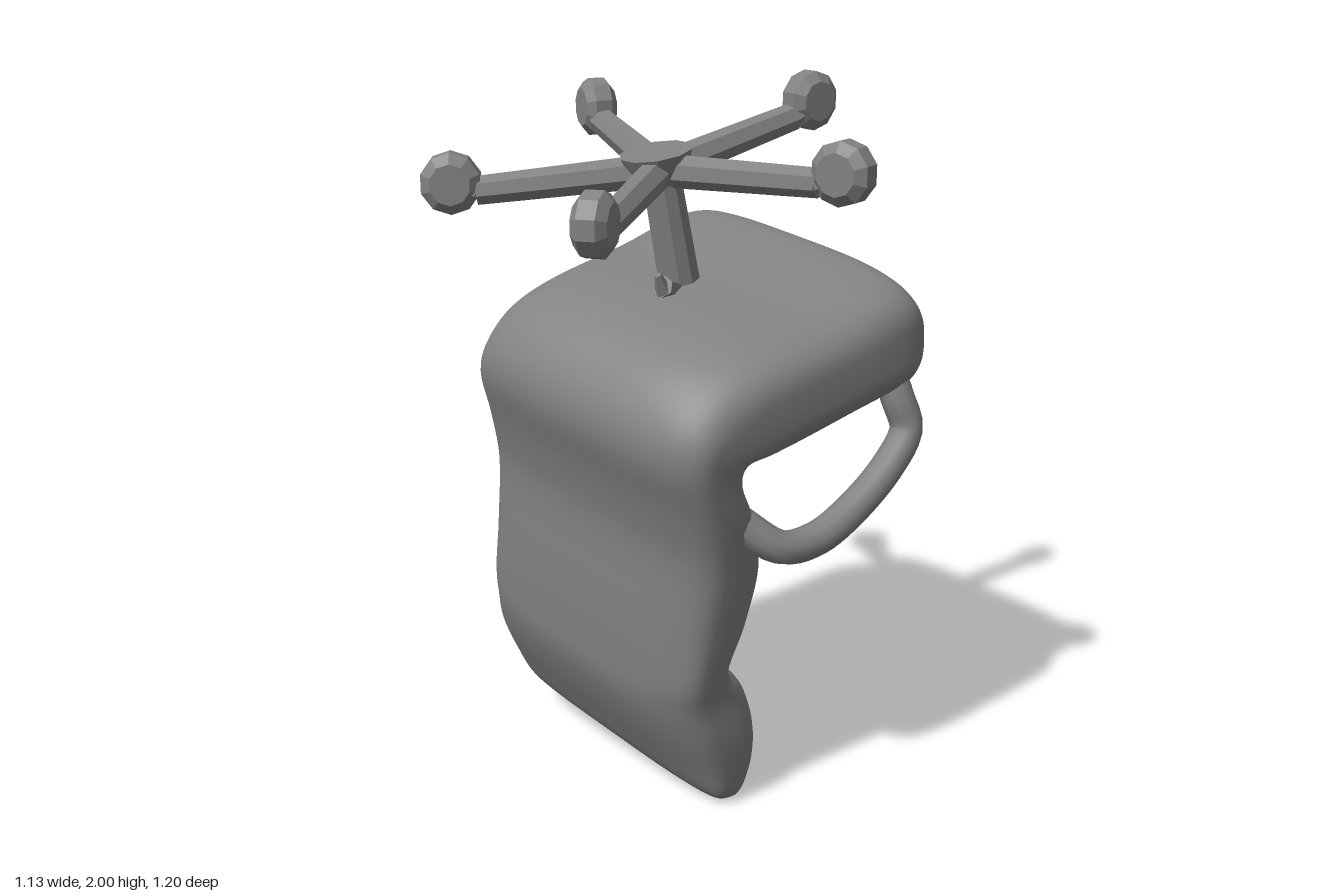
import * as THREE from 'three';
import { mergeVertices } from 'three/addons/utils/BufferGeometryUtils.js';

const ROLL = 0.13; // sideways lean of the seat and back
const YAW = 0.1; // slight turn of the seat and back
const GREY = 0x828282;
const V = (x, y, z) => new THREE.Vector3(x, y, z);
const lean = (x, y, z) => V(x + YAW * z, y - ROLL * z, z);
const smooth = new THREE.MeshStandardMaterial({ color: GREY });
const faceted = new THREE.MeshStandardMaterial({ color: GREY, flatShading: true });

function add(parent, name, geometry, material) {
  const mesh = new THREE.Mesh(geometry, material);
  mesh.name = name;
  parent.add(mesh);
  return mesh;
}

// Tapered round bar between two points
function bar(parent, name, from, to, r0, r1, sides = 8) {
  const dir = to.clone().sub(from);
  const mesh = add(parent, name, new THREE.CylinderGeometry(r1, r0, dir.length(), sides, 3), faceted);
  mesh.position.copy(from).add(to).multiplyScalar(0.5);
  mesh.quaternion.setFromUnitVectors(V(0, 1, 0), dir.normalize());
}

// Stations from headrest tip to seat front:
// outer x, y, inner x, y, centre z, half width, depth of the recess between the bolsters
const STATIONS = [
  [-0.075, 0.03, -0.075, 0.03, -0.12, 0.36, 0],
  [-0.145, 0.07, 0.0, 0.05, -0.12, 0.425, 0],
  [-0.205, 0.17, 0.05, 0.155, -0.12, 0.45, 0],
  [-0.26, 0.28, 0.05, 0.28, -0.11, 0.455, 0],
  [-0.295, 0.38, 0.005, 0.405, -0.09, 0.44, 0],
  [-0.305, 0.48, -0.08, 0.495, -0.07, 0.435, 0.06],
  [-0.31, 0.65, -0.035, 0.64, -0.05, 0.44, 0.2],
  [-0.31, 0.85, -0.015, 0.81, -0.03, 0.45, 0.26],
  [-0.34, 1.0, -0.065, 0.97, -0.01, 0.455, 0.2],
  [-0.385, 1.15, -0.12, 1.07, 0.01, 0.45, 0.08],
  [-0.37, 1.26, -0.12, 1.12, 0.03, 0.445, 0],
  [-0.29, 1.365, -0.05, 1.12, 0.04, 0.445, 0.05],
  [-0.15, 1.435, 0.05, 1.14, 0.05, 0.445, 0.1],
  [0.10, 1.495, 0.20, 1.175, 0.05, 0.45, 0.12],
  [0.29, 1.555, 0.36, 1.205, 0.05, 0.45, 0.06],
  [0.39, 1.56, 0.43, 1.225, 0.05, 0.435, 0],
  [0.455, 1.485, 0.465, 1.285, 0.045, 0.41, 0],
  [0.478, 1.385, 0.478, 1.385, 0.04, 0.38, 0],
];

// Seat and back as one loft of rounded rectangular sections
function shellGeometry() {
  const curve = (f) => new THREE.CatmullRomCurve3(STATIONS.map(f), false, 'catmullrom', 0.5);
  const outer = curve((s) => V(s[0], s[1], 0));
  const inner = curve((s) => V(s[2], s[3], 0));
  const size = curve((s) => V(s[4], s[5], s[6]));
  const rows = 85, cols = 72, pos = [], index = [];
  const round = (v) => Math.sign(v) * Math.pow(Math.abs(v), 0.55);
  for (let i = 0; i <= rows; i++) {
    const o = outer.getPoint(i / rows), n = inner.getPoint(i / rows), d = size.getPoint(i / rows);
    for (let j = 0; j < cols; j++) {
      const a = (j / cols) * Math.PI * 2;
      const w = round(Math.cos(a));
      let t = 0.5 + 0.5 * round(Math.sin(a)); // 0 inner face, 1 outer face
      if (t < 0.5) t += d.z * (1 - THREE.MathUtils.smoothstep(Math.abs(w), 0.4, 0.72));
      const p = n.clone().lerp(o, t);
      pos.push(...lean(p.x, p.y, d.x + w * d.y).toArray());
      if (i < rows) {
        const k = i * cols + j, l = i * cols + ((j + 1) % cols);
        index.push(k, k + cols, l, l, k + cols, l + cols);
      }
    }
  }
  const g = new THREE.BufferGeometry();
  g.setAttribute('position', new THREE.Float32BufferAttribute(pos, 3));
  g.setIndex(index);
  const welded = mergeVertices(g, 1e-4); // closes both tips
  welded.computeVertexNormals();
  return welded;
}

// Armrest loop from the seat edge to the side of the back, ending at endX
function armrest(parent, name, side, endX) {
  const path = [
    [0.33, 1.38, 0.37], [0.365, 1.29, 0.42], [0.375, 1.22, 0.45], [0.39, 1.14, 0.47], [0.32, 1.05, 0.475],
    [0.18, 0.95, 0.475], [0.05, 0.9, 0.475], [-0.06, 0.9, 0.46], [endX, 0.97, 0.39],
  ].map(([x, y, z]) => lean(x, y, z * side));
  add(parent, name, new THREE.TubeGeometry(new THREE.CatmullRomCurve3(path), 40, 0.047, 10), smooth);
}

export function createModel() {
  const model = new THREE.Group();
  model.name = 'upturnedSwivelChair';

  add(model, 'seatAndBack', shellGeometry(), smooth);
  armrest(model, 'leftArmrest', 1, -0.15);
  armrest(model, 'rightArmrest', -1, -0.24);

  // Column, hub and height lever
  const hub = V(-0.04, 1.775, -0.015);
  bar(model, 'column', V(0.03, 1.42, -0.01), hub, 0.06, 0.054, 10);
  bar(model, 'hub', V(-0.04, 1.745, -0.015), V(-0.055, 1.825, -0.015), 0.07, 0.1, 10);
  bar(model, 'heightLever', V(0, 1.44, 0), V(-0.08, 1.475, 0.045), 0.035, 0.03, 6);
  bar(model, 'leverTip', V(-0.075, 1.46, 0.04), V(-0.1, 1.51, 0.05), 0.025, 0.01, 5);

  // Five-legged base, each leg with a caster at its end
  const wheelProfile = [[0, -0.046], [0.055, -0.046], [0.082, -0.024], [0.082, 0.024], [0.055, 0.046], [0, 0.046]];
  const wheelShape = new THREE.LatheGeometry(wheelProfile.map(([r, y]) => new THREE.Vector2(r, y)), 10);
  wheelShape.rotateX(Math.PI / 2);
  const casters = [
    [0.48, 1.92, 0.0], [0.115, 1.88, -0.52], [-0.49, 1.745, -0.34],
    [-0.49, 1.735, 0.315], [0.115, 1.82, 0.52],
  ];
  for (const [x, y, z] of casters) {
    const leg = new THREE.Group();
    leg.name = 'baseLeg';
    model.add(leg);
    const end = V(x, y, z);
    const elbow = hub.clone().lerp(end, 0.88);
    elbow.y -= 0.025;
    bar(leg, 'spoke', hub, elbow, 0.046, 0.039, 7);
    bar(leg, 'casterStem', elbow, end, 0.039, 0.042, 7);
    const wheel = add(leg, 'caster', wheelShape, faceted);
    wheel.position.copy(end);
    wheel.rotation.y = -Math.atan2(z - hub.z, x - hub.x);
  }
  return model;
}
